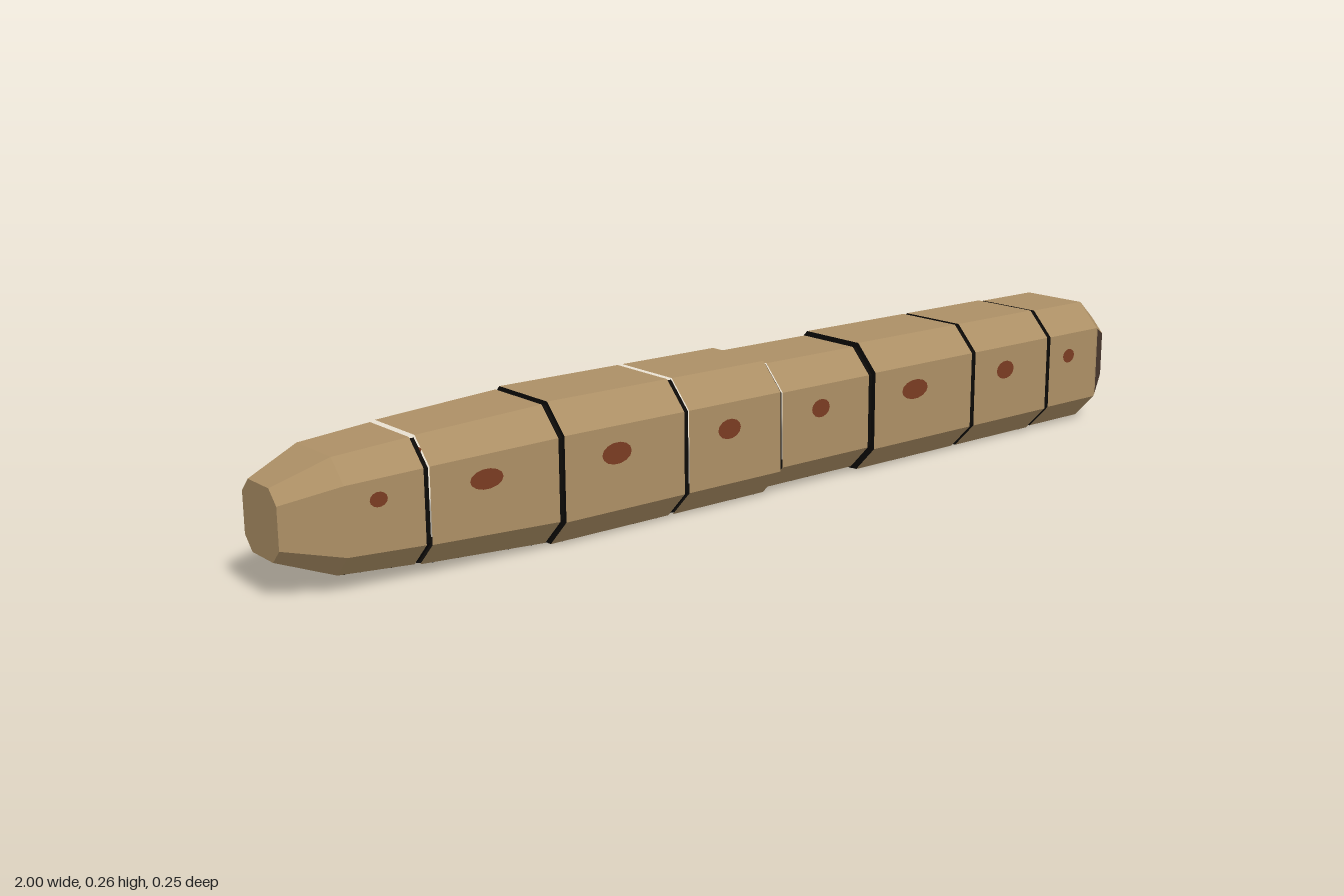
import * as THREE from 'three';

const mat = (name, color, double) => {
  const m = new THREE.MeshStandardMaterial({ color });
  m.name = name;
  if (double) m.side = THREE.DoubleSide;
  return m;
};

// Octagonal section: unit corners [z, y]; half depth is slightly under half height
const MID = 0.13, DEPTH = 0.965, C = 0.6;
const OCT = [[C, 1], [1, C], [1, -C], [C, -1], [-C, -1], [-1, -C], [-1, C], [-C, 1]];
const BOTTOM = 3, UPPER_BACK = 6;
const TAN = 0, BLACK = 1, MUZZLE = 2, RIM = 3, OPEN = -1;

// Shell through rings [x, half]; side(i, k) gives the material of side i of span k,
// capA closes the -x end and capB the +x end. OPEN leaves a face out.
function shell(name, rings, materials, side, capA, capB) {
  const pos = [], geo = new THREE.BufferGeometry();
  const p = (r, i) => {
    const [z, y] = OCT[i % 8];
    return [r[0], MID + y * r[1], z * r[1] * DEPTH];
  };
  const add = (index, ...pts) => {
    if (index === OPEN) return;
    geo.addGroup(pos.length / 3, pts.length, index);
    pts.forEach(q => pos.push(...q));
  };
  for (let k = 0; k + 1 < rings.length; k++) {
    const a = rings[k], b = rings[k + 1];
    for (let i = 0; i < 8; i++) {
      add(side(i, k), p(a, i), p(a, i + 1), p(b, i + 1), p(a, i), p(b, i + 1), p(b, i));
    }
  }
  const first = rings[0], last = rings[rings.length - 1];
  for (let i = 1; i < 7; i++) {
    add(capA, p(first, 0), p(first, i + 1), p(first, i));
    add(capB, p(last, 0), p(last, i), p(last, i + 1));
  }
  geo.setAttribute('position', new THREE.Float32BufferAttribute(pos, 3));
  geo.computeVertexNormals();
  const mesh = new THREE.Mesh(geo, materials);
  mesh.name = name;
  return mesh;
}

export function createModel() {
  const group = new THREE.Group();
  group.name = 'segmentedWorm';
  const tan = mat('tanSkin', 0xac8f65, true);
  const black = mat('blackBelly', 0x0c0a08, true);
  const muzzle = mat('brownMuzzle', 0x634d41);
  const rim = mat('darkBrownRim', 0x4a382e);
  const spot = mat('rustSpot', 0x7a3c22, true);
  const skins = [mat('tanBody', 0xac8f65), mat('blackGroove', 0x0c0a08), muzzle, rim];

  // Body segments, tail at -x and head at +x
  const segments = [
    [[-1, 0.062], [-0.9, 0.1], [-0.76, 0.11]],
    [[-0.75, 0.112], [-0.503, 0.125]],
    [[-0.493, 0.129], [-0.231, 0.129]],
    [[-0.22, 0.129], [0, 0.129]],
    [[0.011, 0.122], [0.236, 0.122]],
    [[0.247, 0.129], [0.522, 0.129]],
    [[0.533, 0.129], [0.755, 0.129]],
    [[0.768, 0.127], [0.92, 0.127], [0.932, 0.12], [1, 0.077]],
  ];
  const gapIsOpen = g => g === 0 || g === 2 || g === 3;
  segments.forEach((rings, s) => {
    const head = s === segments.length - 1;
    const side = (i, k) => {
      if (head && k === 2) return i >= 1 && i <= 5 ? RIM : TAN;
      if (head && k === 1) return i >= 2 && i <= 4 ? RIM : TAN;
      return i === BOTTOM ? RIM : TAN;
    };
    const capA = s === 0 ? TAN : gapIsOpen(s - 1) ? OPEN : BLACK;
    group.add(shell('bodySegment' + (s + 1), rings, skins, side, capA, head ? MUZZLE : BLACK));
  });

  // Narrow black grooves between segments; some are open along the top
  for (let g = 0; g + 1 < segments.length; g++) {
    const a = segments[g].at(-1), b = segments[g + 1][0];
    const h = Math.min(a[1], b[1]) - 0.003;
    group.add(shell('groove' + (g + 1), [[a[0], h], [b[0], h]], skins,
      i => (gapIsOpen(g) && i >= UPPER_BACK ? OPEN : BLACK), OPEN, OPEN));
  }

  // Half height of the body and its slope at x, for placing details
  const profile = segments.flat();
  const halfAt = x => {
    const k = Math.max(1, profile.findIndex(r => r[0] >= x));
    const a = profile[k - 1], b = profile[k];
    const slope = (b[1] - a[1]) / (b[0] - a[0]);
    return [a[1] + slope * (x - a[0]), slope];
  };

  // Jagged black patch under each segment
  segments.forEach((rings, s) => {
    const x0 = s === 0 ? -0.9 : rings[0][0], x1 = s === 7 ? 0.92 : rings.at(-1)[0];
    const n = 10, near = [], far = [];
    for (let j = 0; j <= n; j++) {
      const x = x0 + (x1 - x0) * j / n, w = C * DEPTH * halfAt(x)[0];
      near.push(new THREE.Vector2(x, w * (j % 2 ? 0.98 : 0.8)));
      far.unshift(new THREE.Vector2(x, -w * (j % 2 ? 0.8 : 0.98)));
    }
    const geo = new THREE.ShapeGeometry(new THREE.Shape([...near, ...far]));
    const pos = geo.attributes.position;
    for (let i = 0; i < pos.count; i++) {
      const x = pos.getX(i), z = pos.getY(i);
      pos.setXYZ(i, x, MID - halfAt(x)[0] - 0.001, z);
    }
    geo.computeVertexNormals();
    const patch = new THREE.Mesh(geo, black);
    patch.name = 'bellyPatch';
    group.add(patch);
  });

  // Rust spots, large on the front and small on the back
  const spots = [[-0.842, 0.016, 0.013], [-0.645, 0.032, 0.018], [-0.383, 0.032, 0.02],
    [-0.126, 0.027, 0.019], [0.108, 0.023, 0.018], [0.357, 0.036, 0.02],
    [0.624, 0.026, 0.019], [0.828, 0.018, 0.015]];
  for (const [x, rx, ry] of spots) {
    const [h, slope] = halfAt(x);
    for (const dir of [1, -1]) {
      const mesh = new THREE.Mesh(new THREE.CircleGeometry(1, 14), spot);
      const size = dir > 0 ? 1 : 0.38;
      mesh.scale.set(rx * size, ry * size, 1);
      mesh.position.set(x, 0.158, dir * (h * DEPTH + 0.0015));
      mesh.rotation.y = -dir * Math.atan(slope * DEPTH);
      mesh.name = dir > 0 ? 'frontSpot' : 'backSpot';
      group.add(mesh);
    }
  }

  // Muzzle face: low dark mouth and a tan streak near each edge
  const facePlate = (name, geo, material, y, z) => {
    const mesh = new THREE.Mesh(geo, material);
    mesh.rotation.y = Math.PI / 2;
    mesh.position.set(1.001, y, z);
    mesh.name = name;
    group.add(mesh);
  };
  facePlate('mouth', new THREE.CircleGeometry(1, 16).scale(0.02, 0.011, 1), black, 0.065, 0.01);
  for (const z of [0.07, -0.068]) {
    facePlate('muzzleStreak', new THREE.PlaneGeometry(0.007, 0.055), tan, 0.11, z);
  }

  return group;
}
